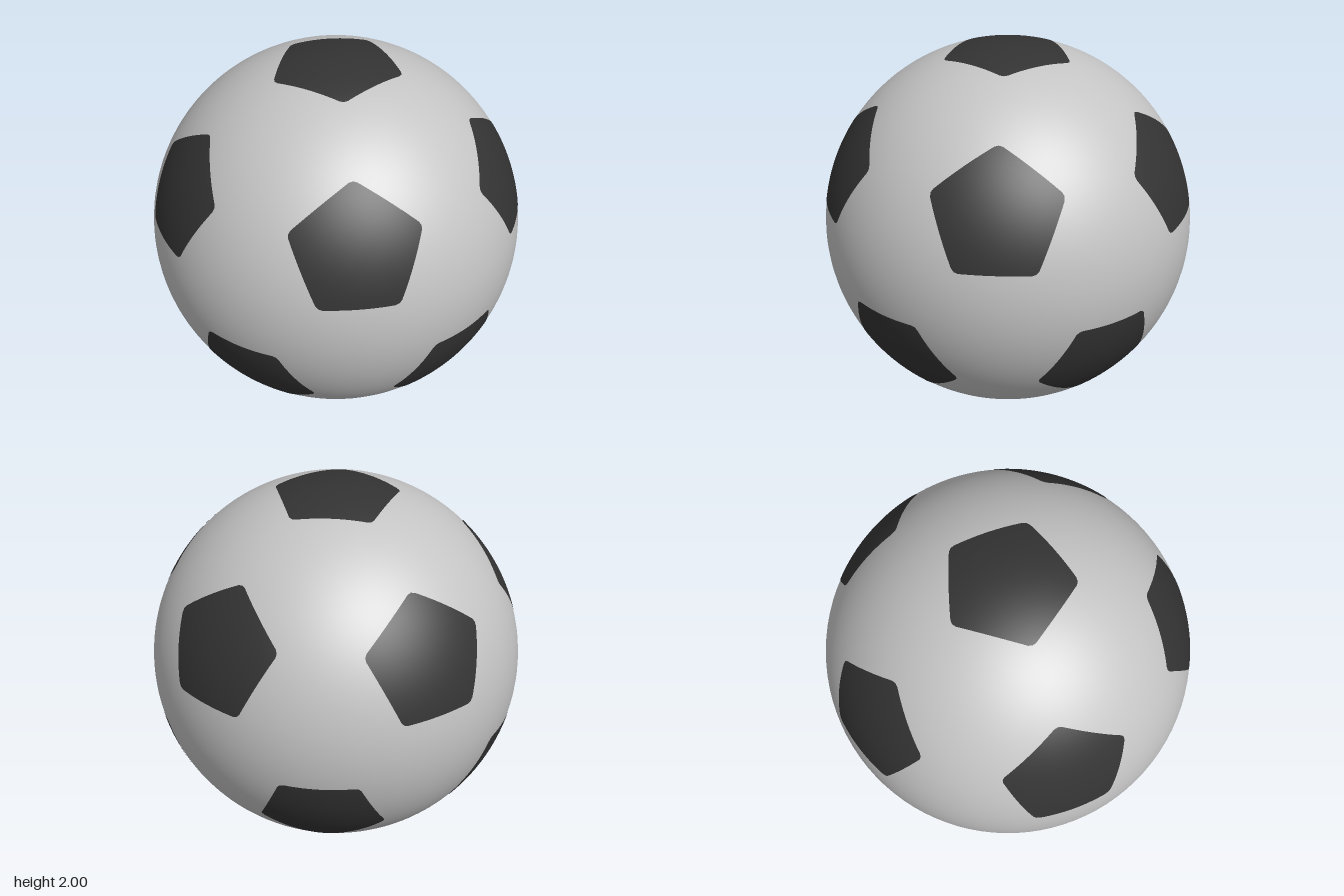
import * as THREE from 'three';

const CORNER = Math.tan(THREE.MathUtils.degToRad(20.08)); // pentagon corner distance on the tangent plane
const SEGMENTS = 100;
const RINGS = 8;

// Distance from the panel centre to its edge, with slightly blunted corners
function pentagonRadius(angle) {
  const side = Math.PI * 2 / 5;
  const offset = (angle % side) - side / 2;
  return Math.min(CORNER * Math.cos(side / 2) / Math.cos(offset), CORNER * 0.975);
}

// Spherical pentagon centred on `axis`, one corner pointing toward `toward`
function pentagonPanel(axis, toward) {
  const u = toward.clone().addScaledVector(axis, -toward.dot(axis)).normalize();
  const v = axis.clone().cross(u);
  const points = [];
  const index = [];
  const stride = SEGMENTS + 1;
  for (let i = 0; i <= RINGS; i++) {
    for (let j = 0; j <= SEGMENTS; j++) {
      const angle = (j % SEGMENTS) / SEGMENTS * Math.PI * 2;
      const r = pentagonRadius(angle) * i / RINGS;
      const p = axis.clone()
        .addScaledVector(u, r * Math.cos(angle))
        .addScaledVector(v, r * Math.sin(angle))
        .normalize();
      points.push(p.x, p.y, p.z);
      if (i < RINGS && j < SEGMENTS) {
        const a = i * stride + j;
        const b = a + stride;
        index.push(a, b, b + 1);
        if (i > 0) index.push(a, b + 1, a + 1);
      }
    }
  }
  const geometry = new THREE.BufferGeometry();
  geometry.setAttribute('position', new THREE.Float32BufferAttribute(points, 3));
  geometry.setAttribute('normal', new THREE.Float32BufferAttribute(points, 3)); // unit sphere
  geometry.setIndex(index);
  return geometry;
}

export function createModel() {
  const white = new THREE.MeshStandardMaterial({ color: 0xc4c4c4 });
  white.name = 'white leather';
  const black = new THREE.MeshStandardMaterial({ color: 0x333333 });
  black.name = 'black leather';

  const ball = new THREE.Group();
  ball.name = 'football';
  ball.position.y = 1;

  // White body
  const body = new THREE.Mesh(new THREE.SphereGeometry(0.998, 96, 64), white);
  body.name = 'whiteBody';
  ball.add(body);

  const addPanel = (name, axis, toward) => {
    const panel = new THREE.Mesh(pentagonPanel(axis, toward), black);
    panel.name = name;
    ball.add(panel);
  };

  // Black panels on the twelve icosahedron corners: a pole and a ring of five per half
  for (const [half, s] of [['upper', 1], ['lower', -1]]) {
    const pole = new THREE.Vector3(0, s, 0);
    addPanel(`${half}PolePanel`, pole, new THREE.Vector3(s, 0, 0));
    for (let k = 0; k < 5; k++) {
      const a = k * Math.PI * 2 / 5;
      const axis = new THREE.Vector3(2 * s * Math.cos(a), s, 2 * s * Math.sin(a)).normalize();
      addPanel(`${half}Panel${k + 1}`, axis, pole);
    }
  }

  const model = new THREE.Group();
  model.name = 'ballModel';
  model.add(ball);
  return model;
}
